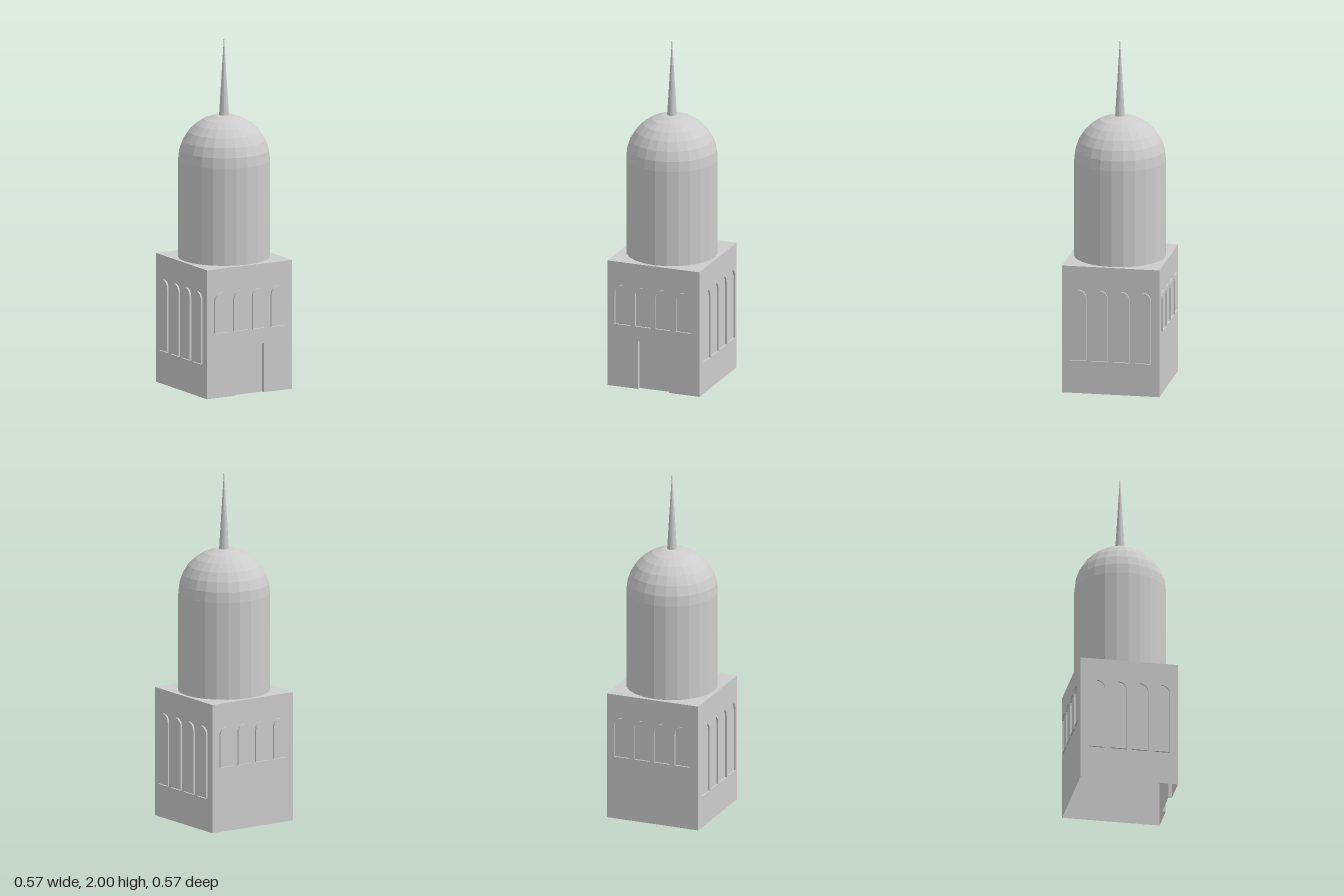
import * as THREE from 'three';

const HALF = 0.277, WALL_H = 0.735;
const DOOR_HALF = 0.093, DOOR_H = 0.28, DOOR_DEPTH = 0.02;
const DOME_R = 0.257, DOME_Y = 1.29;
const WIN_HALF = 0.0457, WIN_TOP = 0.6, WIN_DEPTH = 0.01;

const stone = new THREE.MeshStandardMaterial({ color: 0xcccccc, flatShading: true, side: THREE.DoubleSide });
stone.name = 'grey stone';

function part(name, geometry, parent, x = 0, y = 0, z = 0) {
  const mesh = new THREE.Mesh(geometry, stone);
  mesh.name = name;
  mesh.position.set(x, y, z);
  parent.add(mesh);
  return mesh;
}

// Thin band that follows an open outline in xy and runs from z0 to z1
function band(points, z0, z1) {
  const pos = [];
  for (let i = 0; i < points.length - 1; i++) {
    const [ax, ay] = points[i], [bx, by] = points[i + 1];
    pos.push(ax, ay, z0, bx, by, z0, bx, by, z1, ax, ay, z0, bx, by, z1, ax, ay, z1);
  }
  const g = new THREE.BufferGeometry();
  g.setAttribute('position', new THREE.Float32BufferAttribute(pos, 3));
  g.computeVertexNormals();
  return g;
}

// Half frame of an arched window: sill, one post and a quarter arch up to the crown
function windowFrame(bottom, postSide) {
  const pts = [[-postSide * WIN_HALF, bottom], [postSide * WIN_HALF, bottom]];
  const steps = 4;
  for (let i = 0; i <= steps; i++) {
    const a = (i / steps) * Math.PI / 2;
    pts.push([postSide * WIN_HALF * Math.cos(a), WIN_TOP - WIN_HALF + WIN_HALF * Math.sin(a)]);
  }
  return band(pts, 0, WIN_DEPTH);
}

export function createModel() {
  const model = new THREE.Group();
  model.name = 'tower';

  // Hollow square base, open underneath, with one wall and four windows per side
  const base = new THREE.Group();
  base.name = 'base';
  model.add(base);
  const sides = ['front', 'left', 'back', 'right'];
  sides.forEach((name, i) => {
    const side = new THREE.Group();
    side.name = name + 'Side';
    side.rotation.y = i * Math.PI / 2;
    base.add(side);

    if (name === 'front') {
      // Wall with a doorway, its jambs and the recessed door
      const d = [[-DOOR_HALF, 0], [-DOOR_HALF, DOOR_H], [DOOR_HALF, DOOR_H], [DOOR_HALF, 0]];
      const outline = [[-HALF, 0], ...d, [HALF, 0], [HALF, WALL_H], [-HALF, WALL_H]];
      const shape = new THREE.Shape(outline.map(([x, y]) => new THREE.Vector2(x, y)));
      part('frontWall', new THREE.ShapeGeometry(shape), side, 0, 0, HALF);
      part('doorJambs', band(d, -DOOR_DEPTH, 0), side, 0, 0, HALF);
      part('door', new THREE.PlaneGeometry(DOOR_HALF * 2, DOOR_H), side, 0, DOOR_H / 2, HALF - DOOR_DEPTH);
    } else {
      part(name + 'Wall', new THREE.PlaneGeometry(HALF * 2, WALL_H), side, 0, WALL_H / 2, HALF);
    }

    // Short windows on front and back, tall ones on the flanks
    const flank = i % 2 === 1;
    const frame = windowFrame(flank ? 0.19 : 0.37, flank ? 1 : -1);
    for (const x of [-0.184, -0.061, 0.061, 0.184]) part('windowFrame', frame, side, x, 0, HALF);
  });
  const roof = new THREE.PlaneGeometry(HALF * 2, HALF * 2).rotateX(-Math.PI / 2);
  part('baseRoof', roof, base, 0, WALL_H, 0);

  // Round drum, dome and spire
  const drumH = DOME_Y - WALL_H;
  part('drum', new THREE.CylinderGeometry(DOME_R, DOME_R, drumH, 24, 1, true), model, 0, WALL_H + drumH / 2, 0);
  part('dome', new THREE.SphereGeometry(DOME_R, 24, 7, 0, Math.PI * 2, 0, Math.PI / 2), model, 0, DOME_Y, 0);
  part('spire', new THREE.ConeGeometry(0.028, 0.465, 12), model, 0, 1.7675, 0);

  return model;
}
